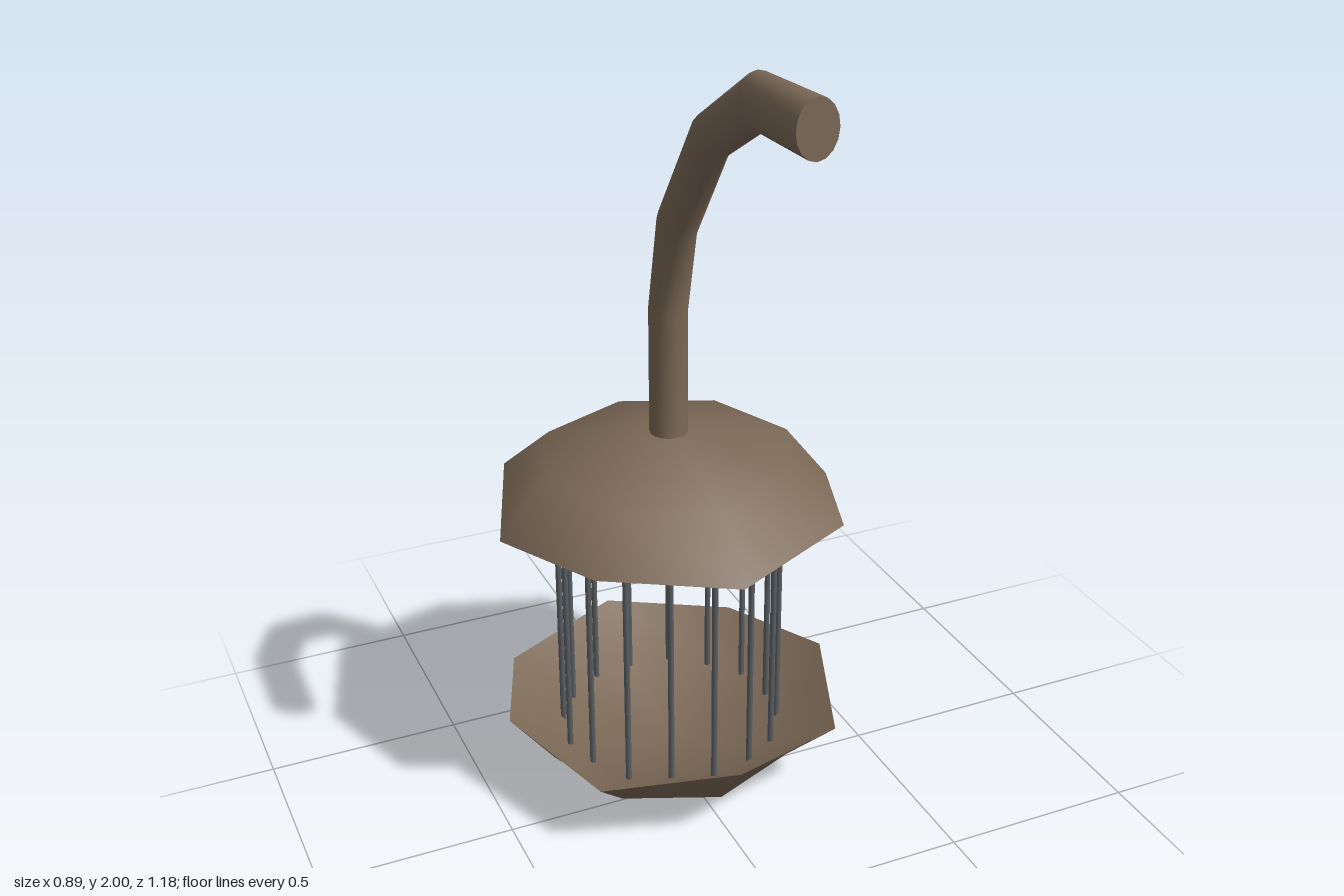
import * as THREE from 'three';
import { toCreasedNormals } from 'three/addons/utils/BufferGeometryUtils.js';

const AXIS_Z = -0.145; // centre line of the lantern
const MIRROR_Y = 0.98; // cap height + matching bowl height

// Thin eight-sided dome: inside up to the rim, then over the outside
function domeGeometry() {
  const profile = [[0, 0.945], [0.3, 0.868], [0.447, 0.754], [0.328, 0.905], [0, 0.98]]
    .map(([r, y]) => new THREE.Vector2(r, y));
  const geo = new THREE.LatheGeometry(profile, 8);
  const pos = geo.attributes.position;
  // The rim corners between the main axes are a little higher and wider
  for (let i = 0; i < pos.count; i++) {
    const side = Math.floor(i / profile.length);
    if (i % profile.length === 2 && side % 2 === 1) {
      pos.setXYZ(i, pos.getX(i) * 1.028, 0.79, pos.getZ(i) * 1.028);
    }
  }
  return toCreasedNormals(geo, 0.9);
}

// Bent arm swept from elliptical cross-sections: [z, y, tilt, half depth]
function armGeometry() {
  const sections = [
    [-0.142, 0.94, 0, 0.048], [-0.14, 1.295, 0.1, 0.048], [-0.085, 1.525, 0.66, 0.056],
    [0.103, 1.785, 0.95, 0.056], [0.337, 1.925, 1.37, 0.062], [0.592, 1.935, Math.PI / 2, 0.065],
  ];
  const sides = 16, verts = [], index = [];
  for (const [z, y, tilt, depth] of sections) {
    for (let i = 0; i < sides; i++) {
      const a = (i / sides) * Math.PI * 2;
      const d = Math.cos(a) * depth;
      verts.push(Math.sin(a) * 0.048, y - d * Math.sin(tilt), z + d * Math.cos(tilt));
    }
  }
  for (let s = 0; s < sections.length - 1; s++) {
    for (let i = 0; i < sides; i++) {
      const a = s * sides + i, b = s * sides + (i + 1) % sides;
      index.push(a, b, b + sides, a, b + sides, a + sides);
    }
  }
  // Flat end faces
  const last = (sections.length - 1) * sides;
  for (let i = 1; i < sides - 1; i++) {
    index.push(0, i + 1, i, last, last + i, last + i + 1);
  }
  const geo = new THREE.BufferGeometry();
  geo.setAttribute('position', new THREE.Float32BufferAttribute(verts, 3));
  geo.setIndex(index);
  return toCreasedNormals(geo, 0.9);
}

export function createModel() {
  const model = new THREE.Group();
  model.name = 'hangingLantern';
  const brown = new THREE.MeshStandardMaterial({ color: 0x7d6a58 });
  const iron = new THREE.MeshStandardMaterial({ color: 0x5a5f62 });

  const add = (parent, name, geo, mat, x = 0, y = 0, z = 0) => {
    const mesh = new THREE.Mesh(geo, mat);
    mesh.name = name;
    mesh.position.set(x, y, z);
    parent.add(mesh);
    return mesh;
  };

  // Cap and the same dome turned over as the bowl
  const dome = domeGeometry();
  add(model, 'cap', dome, brown, 0, 0, AXIS_Z);
  add(model, 'bowl', dome, brown, 0, MIRROR_Y, AXIS_Z).rotation.x = Math.PI;

  // Curved hanging arm
  add(model, 'arm', armGeometry(), brown);

  // Cage of upright bars joined by a hoop at each end
  const cage = new THREE.Group();
  cage.name = 'cage';
  cage.position.z = AXIS_Z;
  model.add(cage);
  const bar = new THREE.CylinderGeometry(0.008, 0.008, 0.81, 8);
  for (let i = 0; i < 16; i++) {
    const a = (i / 16) * Math.PI * 2;
    add(cage, 'bar', bar, iron, Math.sin(a) * 0.284, MIRROR_Y / 2, Math.cos(a) * 0.284);
  }
  const hoop = new THREE.TorusGeometry(0.284, 0.008, 6, 16).rotateX(Math.PI / 2);
  for (const y of [0.9, MIRROR_Y - 0.9]) add(cage, 'hoop', hoop, iron, 0, y, 0);

  return model;
}
